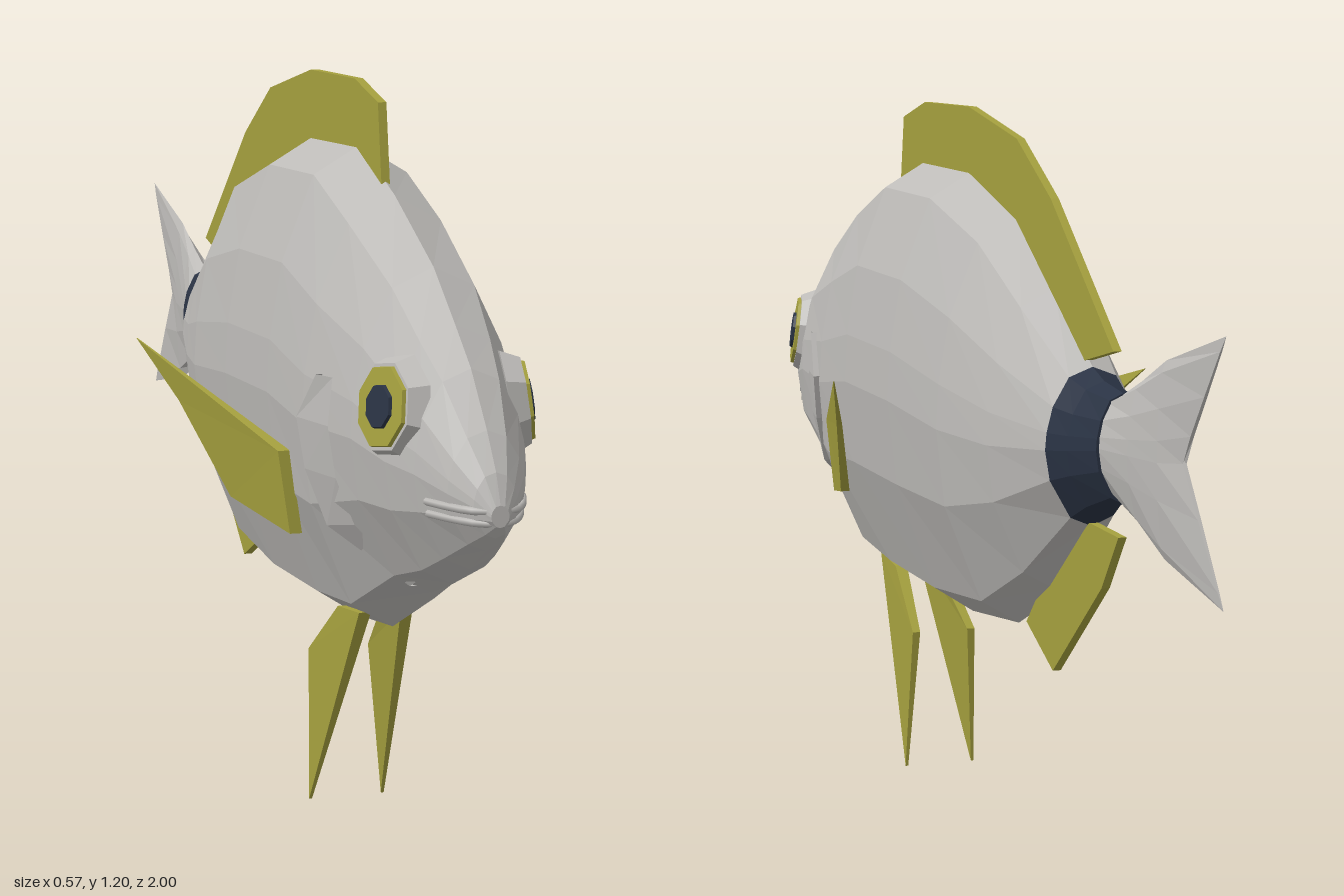
import * as THREE from 'three';

const grey = new THREE.MeshStandardMaterial({ color: 0xbdbbb8, side: THREE.DoubleSide });
grey.name = 'silver grey';
const olive = new THREE.MeshStandardMaterial({ color: 0xa5a03e });
olive.name = 'olive yellow';
const navy = new THREE.MeshStandardMaterial({ color: 0x2a3344 });
navy.name = 'dark navy';

// Half cross-section from ridge to belly: [height fraction, width fraction]
const profile = [[1, 0], [0.94, 0.5], [0.76, 0.84], [0.6, 0.97], [0.49, 1], [0.3, 0.9], [0.06, 0.46], [0, 0]];

// Stations from snout to tail: [z, top, bottom, half width]
const bodyStations = [
  [1.0, 0.64, 0.607, 0.014], [0.98, 0.685, 0.588, 0.034], [0.94, 0.74, 0.562, 0.06],
  [0.87, 0.82, 0.52, 0.088], [0.8, 0.875, 0.483, 0.11], [0.7, 0.95, 0.448, 0.131],
  [0.515, 1.04, 0.353, 0.152], [0.34, 1.105, 0.332, 0.157], [0.09, 1.1, 0.325, 0.157],
  [-0.145, 1.035, 0.347, 0.148], [-0.31, 0.93, 0.435, 0.118], [-0.48, 0.82, 0.565, 0.08],
];
const bandStations = [[-0.48, 0.82, 0.565, 0.08], [-0.53, 0.803, 0.592, 0.063], [-0.61, 0.793, 0.62, 0.045]];
const tailStations = [[-0.6, 0.787, 0.632, 0.042], [-0.69, 0.822, 0.597, 0.026], [-0.78, 0.862, 0.56, 0.015], [-0.85, 0.92, 0.52, 0.003]];

function facetedMesh(name, positions, index, material) {
  let g = new THREE.BufferGeometry();
  g.setAttribute('position', new THREE.Float32BufferAttribute(positions, 3));
  g.setIndex(index);
  g = g.toNonIndexed();
  g.computeVertexNormals();
  const mesh = new THREE.Mesh(g, material);
  mesh.name = name;
  return mesh;
}

// Skin the stations; notch sweeps the last section's tips backward
function loft(name, stations, material, notch = 0) {
  const ring = [...profile, ...profile.slice(1, -1).reverse().map(([t, k]) => [t, -k])];
  const n = ring.length, pos = [], idx = [];
  stations.forEach(([z, top, bottom, w], i) => {
    const sweep = i === stations.length - 1 ? notch : 0;
    for (const [t, k] of ring) pos.push(k * w, bottom + t * (top - bottom), z - sweep * Math.abs(2 * t - 1));
  });
  const last = (stations.length - 1) * n, c = stations.length * n;
  for (const [z, top, bottom] of [stations[0], stations[stations.length - 1]]) pos.push(0, (top + bottom) / 2, z);
  for (let j = 0; j < n; j++) {
    const k = (j + 1) % n;
    for (let i = 0; i < last; i += n) idx.push(i + j, i + k, i + n + k, i + j, i + n + k, i + n + j);
    idx.push(c, k, j, c + 1, last + j, last + k);
  }
  return facetedMesh(name, pos, idx, material);
}

// Half width of the body at a given z and y
function bodyX(z, y) {
  let i = 0;
  while (i < bodyStations.length - 2 && bodyStations[i + 1][0] > z) i++;
  const a = bodyStations[i], b = bodyStations[i + 1];
  const f = (a[0] - z) / (a[0] - b[0]);
  const [, top, bottom, w] = a.map((v, m) => v + (b[m] - v) * f);
  const t = THREE.MathUtils.clamp((y - bottom) / (top - bottom), 0, 1);
  let p = 0;
  while (p < profile.length - 2 && profile[p + 1][0] > t) p++;
  const [t0, k0] = profile[p], [t1, k1] = profile[p + 1];
  return w * (k0 + (k1 - k0) * (t0 - t) / (t0 - t1));
}

// Fin plate from outline points [z, y, x, thickness]
function fin(name, outline, side = 1) {
  let pts = outline.map(([z, y, x = 0, t = 0.014]) => ({ z, y, x: x * side, t }));
  const flat = () => pts.map((p) => new THREE.Vector2(-p.z, p.y));
  if (THREE.ShapeUtils.isClockWise(flat())) pts.reverse();
  const n = pts.length, pos = [], idx = [];
  for (const s of [0.5, -0.5]) for (const p of pts) pos.push(p.x + s * p.t, p.y, p.z);
  for (const [a, b, c] of THREE.ShapeUtils.triangulateShape(flat(), [])) idx.push(a, b, c, n + a, n + c, n + b);
  for (let i = 0; i < n; i++) {
    const j = (i + 1) % n;
    idx.push(i, n + i, n + j, i, n + j, j);
  }
  return facetedMesh(name, pos, idx, olive);
}

// Eight-sided eye: socket rim, iris and pupil, facing outward
function eye(side) {
  const g = new THREE.Group();
  g.name = side > 0 ? 'leftEye' : 'rightEye';
  const disc = (name, r0, r1, h, y, material) => {
    const geo = new THREE.CylinderGeometry(r0, r1, h, 8).toNonIndexed();
    geo.computeVertexNormals();
    const m = new THREE.Mesh(geo, material);
    m.name = name;
    m.position.y = y;
    g.add(m);
  };
  disc('eyeSocket', 0.07, 0.085, 0.03, 0, grey);
  disc('iris', 0.063, 0.065, 0.008, 0.017, olive);
  disc('pupil', 0.033, 0.035, 0.006, 0.023, navy);
  g.position.set(side * (bodyX(0.795, 0.755) - 0.003), 0.755, 0.795);
  g.quaternion.setFromUnitVectors(new THREE.Vector3(0, 1, 0), new THREE.Vector3(side, 0.14, 0.25).normalize());
  return g;
}

// Raised rear edge of the gill cover
function gillCover(side) {
  const inner = [[0.62, 0.775], [0.62, 0.7], [0.63, 0.62], [0.65, 0.55], [0.72, 0.47]];
  const edge = [[0.58, 0.775], [0.52, 0.7], [0.535, 0.62], [0.57, 0.535], [0.7, 0.46]];
  const rows = [[inner, 0.002], [edge, 0.011], [edge, -0.01]];
  const pos = [], idx = [], n = edge.length;
  for (const [row, off] of rows) for (const [z, y] of row) pos.push(side * (bodyX(z, y) + off), y, z);
  for (let r = 0; r < 2; r++) for (let j = 0; j < n - 1; j++) {
    const a = r * n + j, b = a + 1, c = a + n + 1, d = a + n;
    idx.push(...(side > 0 ? [a, b, c, a, c, d] : [a, c, b, a, d, c]));
  }
  return facetedMesh(side > 0 ? 'leftGillCover' : 'rightGillCover', pos, idx, grey);
}

// Thin lip wrapping around the snout
function lip(name, y) {
  const zs = [0.89, 0.94, 0.98];
  const half = zs.map((z) => new THREE.Vector3(bodyX(z, y), y, z));
  const other = half.map((p) => new THREE.Vector3(-p.x, p.y, p.z)).reverse();
  const curve = new THREE.CatmullRomCurve3([...half, new THREE.Vector3(0, y, 0.994), ...other]);
  const mesh = new THREE.Mesh(new THREE.TubeGeometry(curve, 14, 0.006, 6), grey);
  mesh.name = name;
  return mesh;
}

export function createModel() {
  const fish = new THREE.Group();
  fish.name = 'fish';
  fish.add(
    loft('body', bodyStations, grey),
    loft('tailBand', bandStations, navy),
    loft('tailFin', tailStations, grey, 0.15),
    lip('upperLip', 0.63),
    lip('lowerLip', 0.612),
    fin('dorsalFin', [
      [0.47, 1.05], [0.45, 1.18], [0.33, 1.21], [0.09, 1.21], [-0.15, 1.165], [-0.31, 1.075],
      [-0.585, 0.855], [-0.46, 0.828], [-0.31, 0.9], [-0.145, 1.0], [0.09, 1.06], [0.34, 1.06],
    ]),
    fin('analFin', [[-0.2, 0.36], [-0.325, 0.3], [-0.54, 0.475], [-0.61, 0.567], [-0.48, 0.572], [-0.3, 0.46]]),
  );
  for (const side of [1, -1]) {
    const label = side > 0 ? 'left' : 'right';
    fish.add(
      eye(side),
      gillCover(side),
      fin(label + 'PectoralFin', [
        [0.43, 0.63, 0.155, 0.02], [0.44, 0.497, 0.138, 0.02], [0.25, 0.525, 0.185, 0.016],
        [0.11, 0.665, 0.238, 0.01], [-0.01, 0.755, 0.284, 0.002],
      ], side),
      fin(label + 'PelvicFin', [
        [0.48, 0.37, 0.035, 0.02], [0.275, 0.008, 0.063, 0.005], [0.25, 0.26, 0.052, 0.014], [0.38, 0.36, 0.038, 0.022],
      ], side),
    );
  }
  return fish;
}
